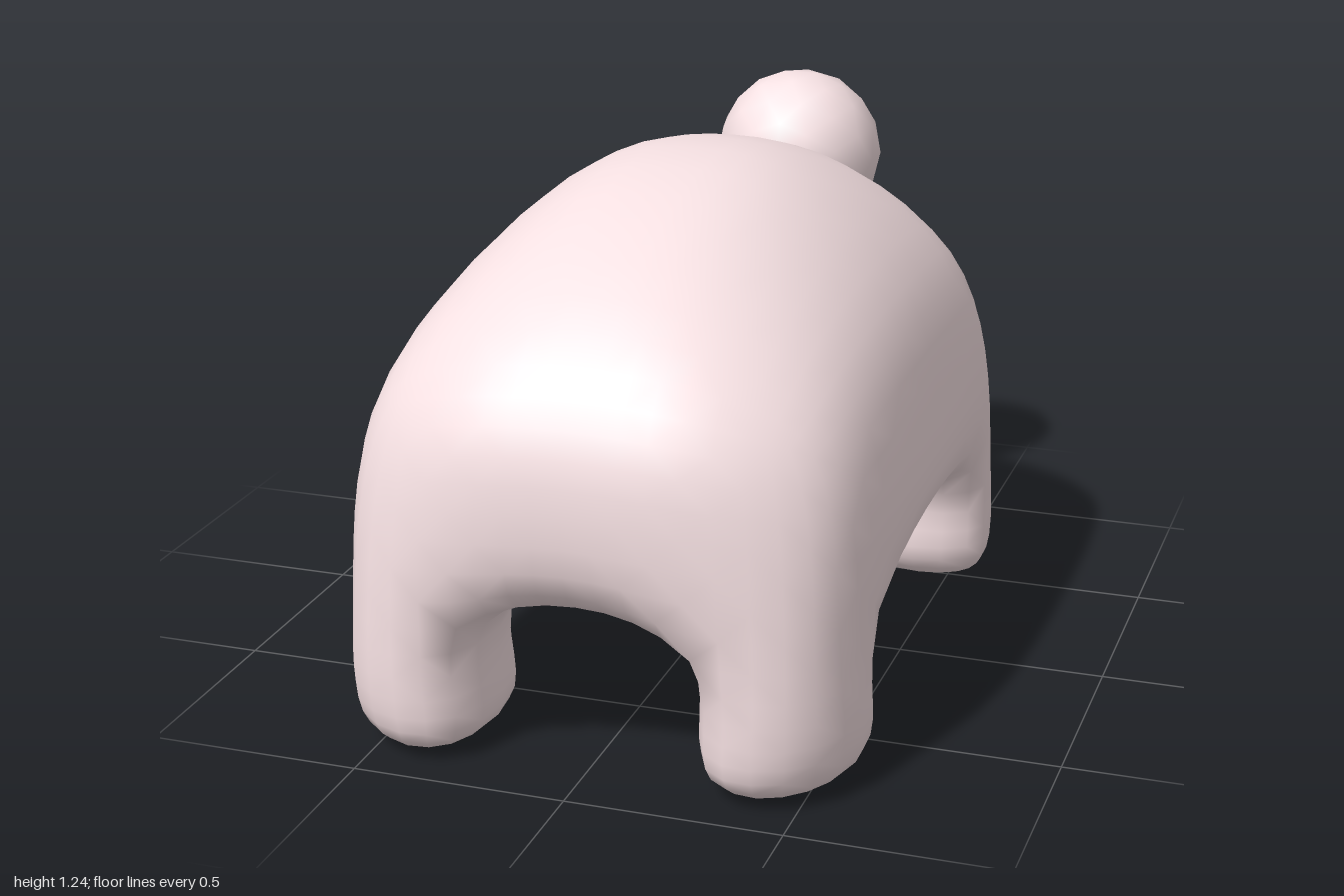
import * as THREE from 'three';

const skin = new THREE.MeshStandardMaterial({ color: 0xf7e2e4 });

// Body stations by level: [x, y, distance from mid-body in z].
// Key: column 0 centre, 1 inner, 2 outer; then row 0 centre, 1 inner, 2 end.
const BELLY = {
  '00': [0, .42, 0], '01': [0, .42, .45], '02': [0, .42, .84],
  '10': [.27, .41, 0], '11': [.27, .34, .46], '12': [.27, .345, .868],
  '20': [.575, .42, 0], '21': [.578, .335, .455], '22': [.535, .33, .82],
};
const FLANK = {
  '02': [0, .66, .93], '12': [.26, .64, .92],
  '20': [.595, .66, 0], '21': [.595, .64, .50], '22': [.515, .61, .80],
};
const BACK = {
  '00': [0, 1.24, 0], '01': [0, 1.12, .57], '02': [0, .90, .86],
  '10': [.25, 1.19, 0], '11': [.25, 1.08, .55], '12': [.25, .88, .85],
  '20': [.51, .95, 0], '21': [.495, .91, .52], '22': [.455, .81, .76],
};
// How much shorter the hind end is at each level
const HIND = [.10, .10, .085, .115, .115];

// Place one lattice node on the surface, mirrored left and right
function place(i, j, k) {
  const a = Math.abs(i - 2), b = Math.abs(k - 2);
  let x, y, d;
  if (j < 2) { // feet and ankles, with the outer corner rounded off
    const inset = a + b === 4 ? .02 : -.006;
    x = .425 + (a === 2 ? 1 : -1) * (j ? .135 : .088);
    y = j ? .115 : .018;
    d = .66 + (b === 2 ? 1 : -1) * (j ? .172 : .115);
    if (a === 2) x -= inset;
    if (b === 2) d -= inset;
  } else {
    [x, y, d] = [BELLY, FLANK, BACK][j - 2]['' + a + b];
  }
  if (k === 0) d -= HIND[j];
  if (k === 1 && j > 2) d -= .05;
  return new THREE.Vector3(Math.sign(i - 2) * x, y, .07 + Math.sign(k - 2) * d);
}

// Outer quads of a block torso standing on four block legs
function buildCage() {
  const filled = (i, j, k) => {
    if (Math.min(i, j, k) < 0 || Math.max(i, j, k) > 3) return false;
    return j >= 2 || (i % 3 === 0 && k % 3 === 0);
  };
  const P = [], F = [], ids = new Map();
  const node = (c) => {
    const key = c.join();
    if (!ids.has(key)) { ids.set(key, P.length); P.push(place(...c)); }
    return ids.get(key);
  };
  for (let i = 0; i < 4; i++) for (let j = 0; j < 4; j++) for (let k = 0; k < 4; k++) {
    if (!filled(i, j, k)) continue;
    for (let d = 0; d < 3; d++) for (const s of [-1, 1]) {
      const next = [i, j, k];
      next[d] += s;
      if (filled(...next)) continue;
      const quad = [[0, 0], [1, 0], [1, 1], [0, 1]].map(([u, v]) => {
        const c = [i, j, k];
        if (s > 0) c[d]++;
        c[(d + 1) % 3] += u;
        c[(d + 2) % 3] += v;
        return node(c);
      });
      F.push(s > 0 ? quad : quad.reverse());
    }
  }
  return { P, F };
}

// One step of smooth quad subdivision; the first points keep their order
function subdivide({ P, F }) {
  const V = () => new THREE.Vector3();
  const edges = new Map();
  const acc = P.map(() => ({ n: 0, q: V(), r: V() }));
  const edge = (a, b) => {
    const key = a < b ? a + '_' + b : b + '_' + a;
    if (!edges.has(key)) {
      edges.set(key, { id: P.length + edges.size, mid: V().addVectors(P[a], P[b]).multiplyScalar(.5), faces: V() });
    }
    return edges.get(key);
  };
  const centres = F.map((f) => {
    const c = V();
    f.forEach((v) => c.addScaledVector(P[v], .25));
    f.forEach((v, m) => {
      const e = edge(v, f[(m + 1) % 4]), g = edge(v, f[(m + 3) % 4]), t = acc[v];
      e.faces.add(c);
      t.n++;
      t.q.add(c);
      t.r.addScaledVector(e.mid, .5).addScaledVector(g.mid, .5);
    });
    return c;
  });
  const corners = P.map((p, v) => {
    const { n, q, r } = acc[v];
    return p.clone().multiplyScalar((n - 3) / n).addScaledVector(q, 1 / (n * n)).addScaledVector(r, 2 / (n * n));
  });
  const mids = [...edges.values()].map((e) => e.mid.clone().multiplyScalar(.5).addScaledVector(e.faces, .25));
  const base = P.length + mids.length, quads = [];
  F.forEach((f, n) => f.forEach((v, m) => {
    quads.push([v, edge(v, f[(m + 1) % 4]).id, base + n, edge(v, f[(m + 3) % 4]).id]);
  }));
  return { P: [...corners, ...mids, ...centres], F: quads };
}

// Smooth skin: push the cage outward until the surface meets its stations
function bodyGeometry() {
  const cage = buildCage();
  const targets = cage.P.map((p) => p.clone());
  const refine = () => subdivide(subdivide(cage));
  for (let n = 0; n < 7; n++) {
    const { P } = refine();
    cage.P.forEach((p, v) => p.add(targets[v]).sub(P[v]));
  }
  const { P, F } = refine();
  const geo = new THREE.BufferGeometry().setFromPoints(P);
  geo.setIndex(F.flatMap(([a, b, c, d]) => [a, b, c, a, c, d]));
  geo.computeVertexNormals();
  return geo;
}

export function createModel() {
  const model = new THREE.Group();
  model.name = 'animalBody';

  // Torso and four legs in one skin
  const body = new THREE.Mesh(bodyGeometry(), skin);
  body.name = 'bodyWithLegs';
  model.add(body);

  // Round tail on the rump
  const tail = new THREE.Mesh(new THREE.IcosahedronGeometry(.214, 2), skin);
  tail.name = 'tail';
  tail.position.set(0, 1.03, -.786);
  model.add(tail);

  return model;
}
